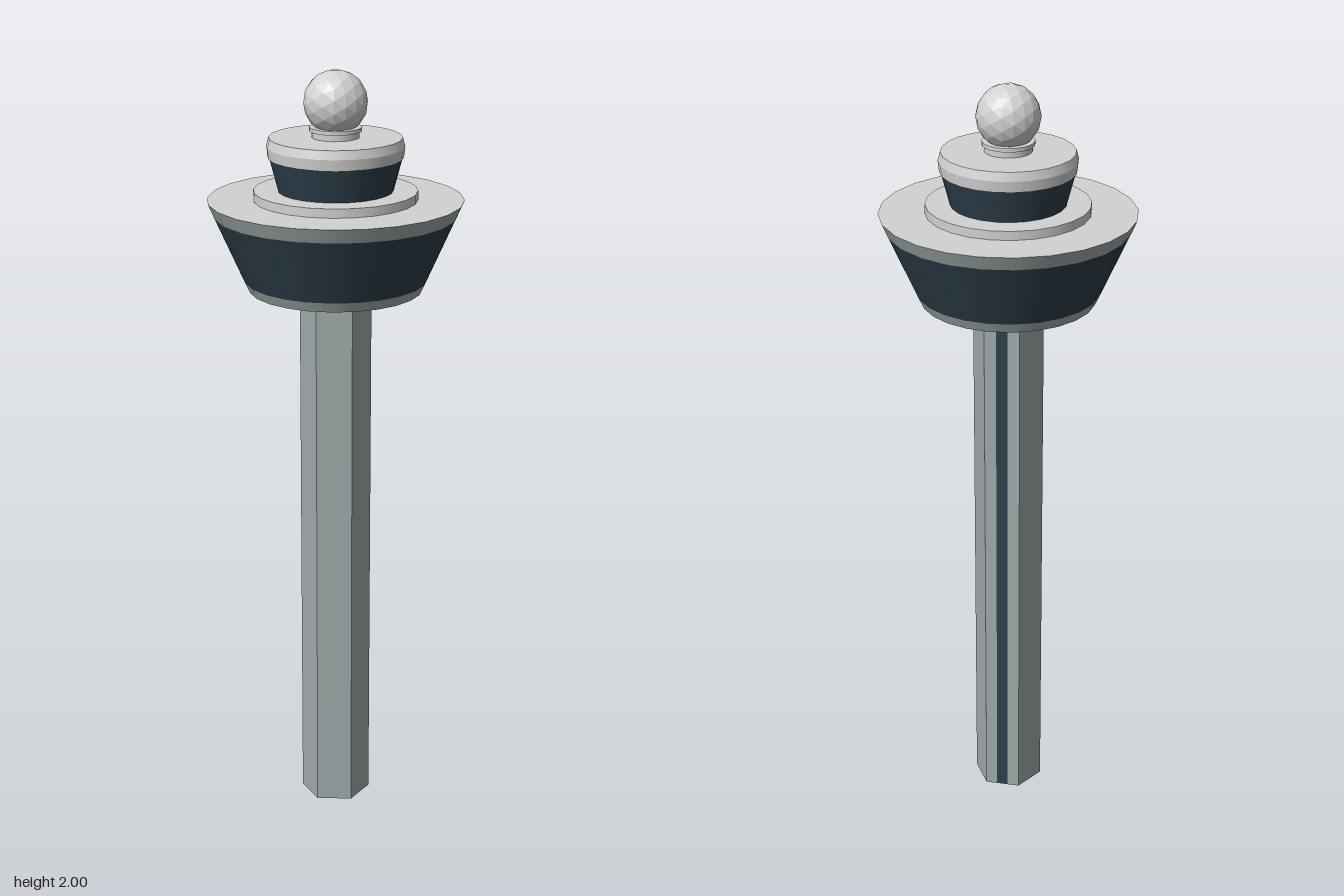
import * as THREE from 'three';

const material = (name, color, flatShading = false) => {
  const m = new THREE.MeshStandardMaterial({ color, flatShading });
  m.name = name;
  return m;
};

export function createModel() {
  const concrete = material('concrete', 0xa0abab);
  const light = material('light grey', 0xd2d2d2);
  const glass = material('dark glass', 0x2f404c);

  const group = new THREE.Group();
  group.name = 'controlTower';

  const add = (name, geometry, mat, y = 0) => {
    const mesh = new THREE.Mesh(geometry, mat);
    mesh.name = name;
    mesh.position.y = y;
    group.add(mesh);
    return mesh;
  };

  // Round tier from y0 to y1 with light caps on open ends
  const tier = (name, r0, y0, r1, y1, side, capped = true) =>
    add(name, new THREE.CylinderGeometry(r1, r0, y1 - y0, 24, 1, !capped),
      capped ? [side, light, light] : side, (y0 + y1) / 2);

  // Hexagonal shaft with corners on the x axis
  const shaft = new THREE.CylinderGeometry(0.092, 0.092, 1.442, 6, 1, false, Math.PI / 6).toNonIndexed();
  shaft.computeVertexNormals();
  add('shaft', shaft, [concrete, light, light], 0.721);

  // Glazed strip up the back of the shaft
  const strip = add('shaftWindow', new THREE.BoxGeometry(0.03, 1.436, 0.004), glass, 0.721);
  strip.position.z = -0.0795;

  // Flared cab: rim, glass, rim
  tier('cabLowerRim', 0.222, 1.442, 0.234, 1.468, concrete);
  tier('cabGlass', 0.234, 1.468, 0.309, 1.638, glass, false);
  tier('cabUpperRim', 0.309, 1.638, 0.325, 1.675, concrete);

  // Upper lookout on its plinth
  tier('plinth', 0.208, 1.675, 0.208, 1.698, light);
  tier('lookoutGlass', 0.146, 1.698, 0.168, 1.782, glass);
  tier('roofLowerBand', 0.171, 1.782, 0.174, 1.81, light);
  tier('roofUpperBand', 0.174, 1.81, 0.168, 1.832, light);

  // Radar dome on a short neck
  tier('neck', 0.06, 1.832, 0.06, 1.848, light);
  tier('collar', 0.066, 1.848, 0.066, 1.858, light);
  add('radarDome', new THREE.IcosahedronGeometry(0.081, 2), material('dome grey', 0xd2d2d2, true), 1.919);

  return group;
}
